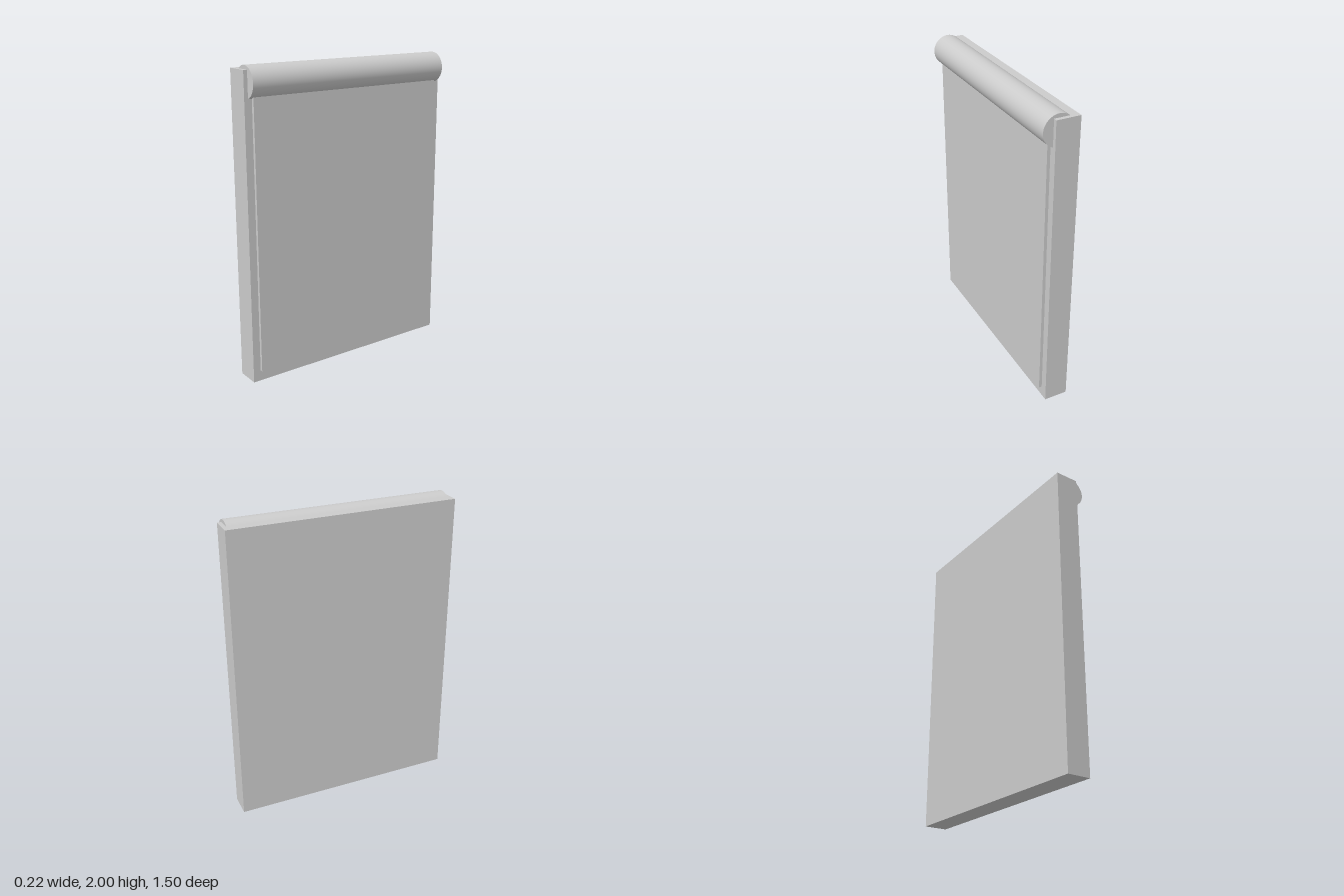
import * as THREE from 'three';

export function createModel() {
  const group = new THREE.Group();
  const material = new THREE.MeshStandardMaterial({ color: 0xcccccc });

  const add = (name, geometry, x, y, z = 0) => {
    const mesh = new THREE.Mesh(geometry, material);
    mesh.name = name;
    mesh.position.set(x, y, z);
    group.add(mesh);
    return mesh;
  };

  // Solid upright slab behind the blind
  add('windowPanel', new THREE.BoxGeometry(0.155, 1.975, 1.5), -0.0325, 0.9875);

  // Thin sheet hanging from the roller, its top hidden inside the roll
  add('blindSheet', new THREE.BoxGeometry(0.03, 1.83, 1.4), 0.05, 0.985);

  // Horizontal roll, partly sunk into the top of the slab
  const roll = new THREE.CylinderGeometry(0.1, 0.1, 1.45, 48).rotateX(Math.PI / 2);
  add('blindRoll', roll, 0.01, 1.9);

  return group;
}
